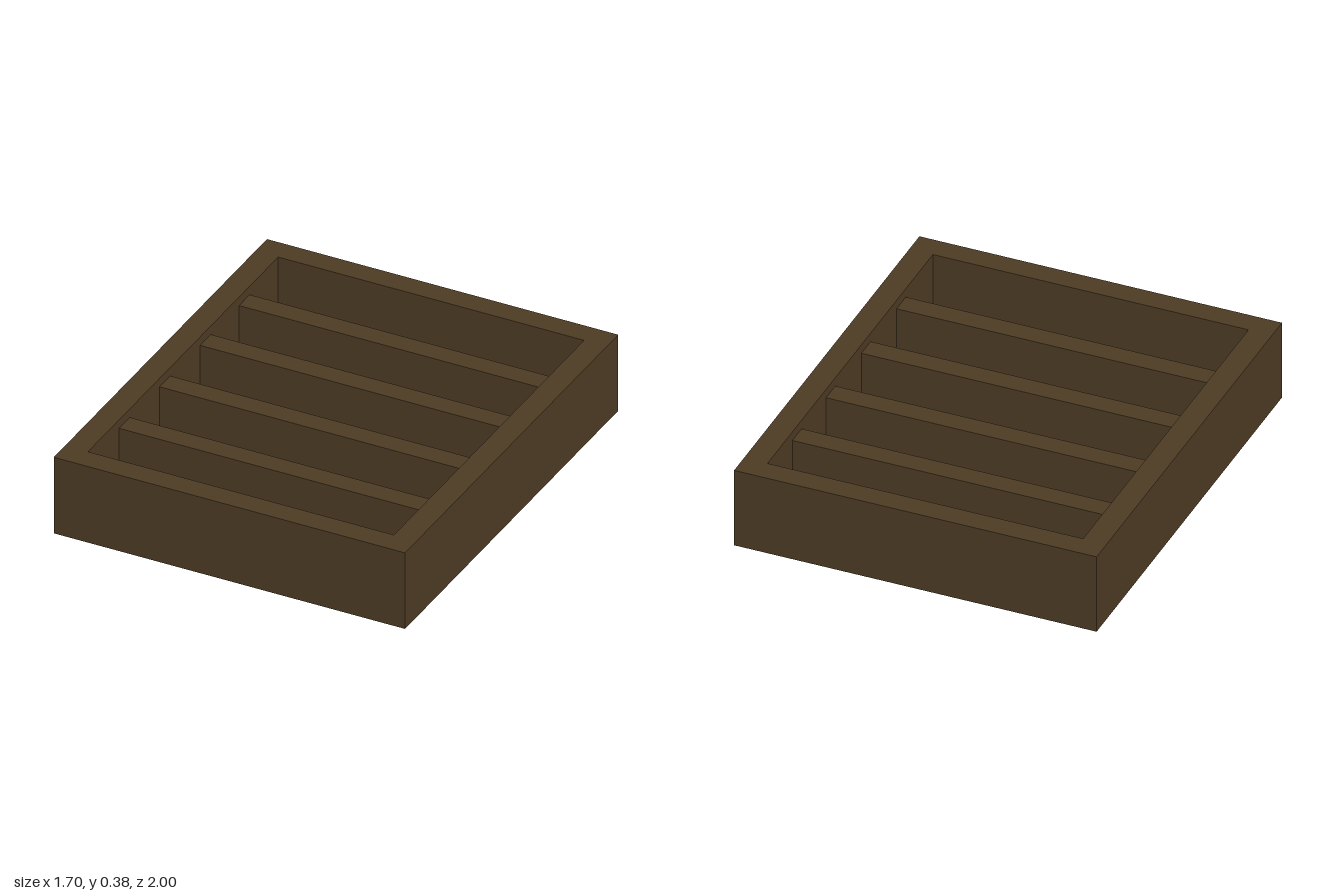
import * as THREE from 'three';

const WIDTH = 1.7, DEPTH = 2, HEIGHT = 0.385;
const INNER_W = 1.48, INNER_D = 1.784;
const FLOOR_Y = 0.048, DIVIDER_TOP = 0.342;

// Four corners of a level rectangle, counter-clockwise seen from above
function ring(w, d, y) {
  return [[-1, 1], [1, 1], [1, -1], [-1, -1]].map(([x, z]) => [x * w / 2, y, z * d / 2]);
}

// Joins each ring to the next with four flat quads, in separate flat-shaded faces
function loftRings(rings) {
  const points = [];
  const quad = (a, b, c, d) => points.push(...a, ...b, ...c, ...a, ...c, ...d);
  for (let r = 0; r < rings.length - 1; r++) {
    for (let i = 0; i < 4; i++) {
      const j = (i + 1) % 4;
      quad(rings[r][i], rings[r][j], rings[r + 1][j], rings[r + 1][i]);
    }
  }
  const geometry = new THREE.BufferGeometry();
  geometry.setAttribute('position', new THREE.Float32BufferAttribute(points, 3));
  geometry.computeVertexNormals();
  return geometry;
}

export function createModel() {
  const group = new THREE.Group();
  group.name = 'dividedTray';
  const wood = new THREE.MeshStandardMaterial({ color: 0x4d3b24, side: THREE.DoubleSide });
  wood.name = 'darkWood';

  const add = (name, geometry, x = 0, y = 0, z = 0) => {
    const mesh = new THREE.Mesh(geometry, wood);
    mesh.name = name;
    mesh.position.set(x, y, z);
    group.add(mesh);
    return mesh;
  };

  // Hollow frame: outer walls, top rim and inner walls, open underneath
  add('frame', loftRings([
    ring(WIDTH, DEPTH, 0),
    ring(WIDTH, DEPTH, HEIGHT),
    ring(INNER_W, INNER_D, HEIGHT),
    ring(INNER_W, INNER_D, FLOOR_Y),
  ]));

  // Raised floor sheet
  const floor = new THREE.PlaneGeometry(INNER_W, INNER_D).rotateX(-Math.PI / 2);
  add('floor', floor, 0, FLOOR_Y, 0);

  // Cross dividers, slightly lower than the rim
  const base = FLOOR_Y + 0.002;
  const divider = new THREE.BoxGeometry(INNER_W, DIVIDER_TOP - base, 0.1);
  [-0.575, -0.21, 0.17, 0.55].forEach((z, i) => {
    add(`divider${i + 1}`, divider, 0, (base + DIVIDER_TOP) / 2, z);
  });

  return group;
}
